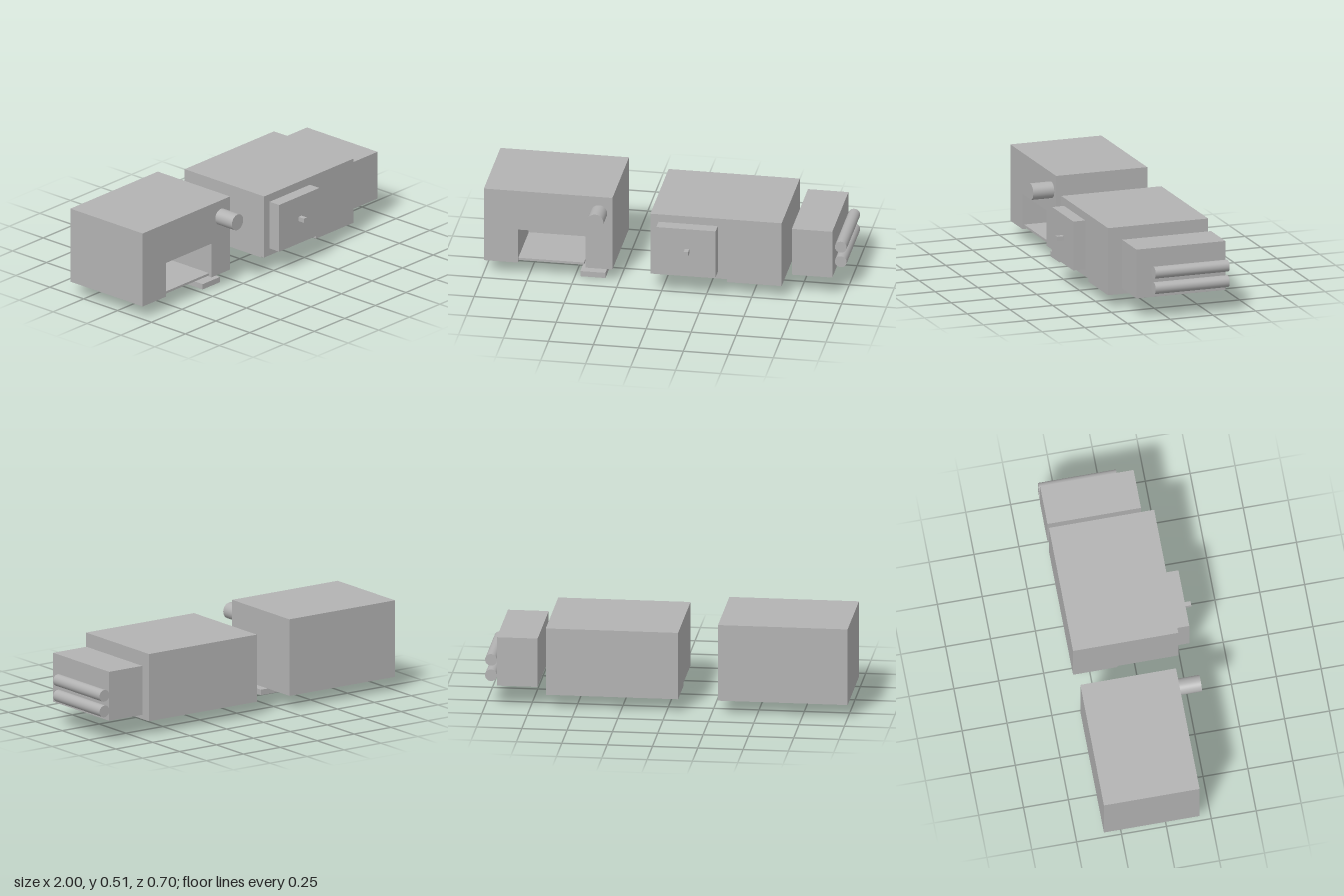
import * as THREE from 'three';

export function createModel() {
  const model = new THREE.Group();
  model.name = 'blockMachines';
  const grey = new THREE.MeshStandardMaterial({ color: 0xb2b2b2 });
  grey.name = 'grey';

  const add = (parent, name, geometry) => {
    const mesh = new THREE.Mesh(geometry, grey);
    mesh.name = name;
    parent.add(mesh);
    return mesh;
  };
  const unit = (name) => {
    const g = new THREE.Group();
    g.name = name;
    model.add(g);
    return g;
  };
  // Box given by its limits on each axis
  const box = (parent, name, [x0, x1], [y0, y1], [z0, z1]) =>
    add(parent, name, new THREE.BoxGeometry(x1 - x0, y1 - y0, z1 - z0))
      .position.set((x0 + x1) / 2, (y0 + y1) / 2, (z0 + z1) / 2);
  // Front outline pulled from z0 to z1
  const prism = (parent, name, points, z0, z1) => {
    const shape = new THREE.Shape(points.map(([x, y]) => new THREE.Vector2(x, y)));
    add(parent, name, new THREE.ExtrudeGeometry(shape, { depth: z1 - z0, bevelEnabled: false }))
      .position.z = z0;
  };
  // Cylinder lying along z
  const rodZ = (parent, name, x, y, r, z0, z1) => {
    const geo = new THREE.CylinderGeometry(r, r, z1 - z0, 40).rotateX(Math.PI / 2);
    add(parent, name, geo).position.set(x, y, (z0 + z1) / 2);
  };
  // Cylinder lying along x
  const rodX = (parent, name, x0, x1, y, z, r) => {
    const geo = new THREE.CylinderGeometry(r, r, x1 - x0, 40).rotateZ(Math.PI / 2);
    add(parent, name, geo).position.set((x0 + x1) / 2, y, z);
  };

  // Tall unit with an open bay at the front
  const bay = unit('bayUnit');
  box(bay, 'bayBack', [-1, -0.285], [0.075, 0.508], [-0.348, -0.16]);
  prism(bay, 'bayArch', [
    [-1, 0.075], [-0.81, 0.075], [-0.81, 0.275], [-0.435, 0.275],
    [-0.435, 0.075], [-0.285, 0.075], [-0.285, 0.508], [-1, 0.508],
  ], -0.16, 0.185);
  box(bay, 'bayFloor', [-0.81, -0.445], [0.087, 0.1], [-0.16, 0.175]);
  rodX(bay, 'spindleThick', -0.81, -0.76, 0.295, 0, 0.06);
  rodX(bay, 'spindleThin', -0.76, -0.635, 0.295, 0, 0.042);
  rodZ(bay, 'frontKnob', -0.36, 0.412, 0.046, 0.185, 0.308);

  // Small foot below the bay unit
  const foot = unit('foot');
  box(foot, 'footStem', [-0.43, -0.405], [0.035, 0.076], [0.048, 0.073]);
  box(foot, 'footBlock', [-0.47, -0.33], [0.004, 0.035], [-0.02, 0.15]);
  box(foot, 'footPad', [-0.45, -0.345], [0, 0.004], [0.028, 0.122]);

  // Wide unit with a door and a shallow notch underneath
  const cabinet = unit('cabinetUnit');
  box(cabinet, 'cabinetBack', [-0.065, 0.665], [0.075, 0.455], [-0.348, -0.1]);
  prism(cabinet, 'cabinetFront', [
    [-0.065, 0.093], [0.36, 0.093], [0.36, 0.075],
    [0.665, 0.075], [0.665, 0.455], [-0.065, 0.455],
  ], -0.1, 0.238);
  box(cabinet, 'bottomPlate', [-0.045, 0.325], [0.076, 0.093], [-0.085, 0.2]);
  box(cabinet, 'bottomPad', [0.01, 0.205], [0.072, 0.076], [-0.02, 0.132]);
  box(cabinet, 'door', [-0.02, 0.31], [0.133, 0.41], [0.238, 0.308]);
  box(cabinet, 'doorHandle', [0.139, 0.164], [0.266, 0.291], [0.308, 0.348]);

  // Small unit carrying two rods on its outer side
  const rack = unit('rodUnit');
  box(rack, 'rodUnitBody', [0.71, 0.935], [0.118, 0.395], [-0.348, 0.173]);
  for (const y of [0.176, 0.264]) rodZ(rack, 'sideRod', 0.967, y, 0.033, -0.348, 0.085);

  return model;
}
